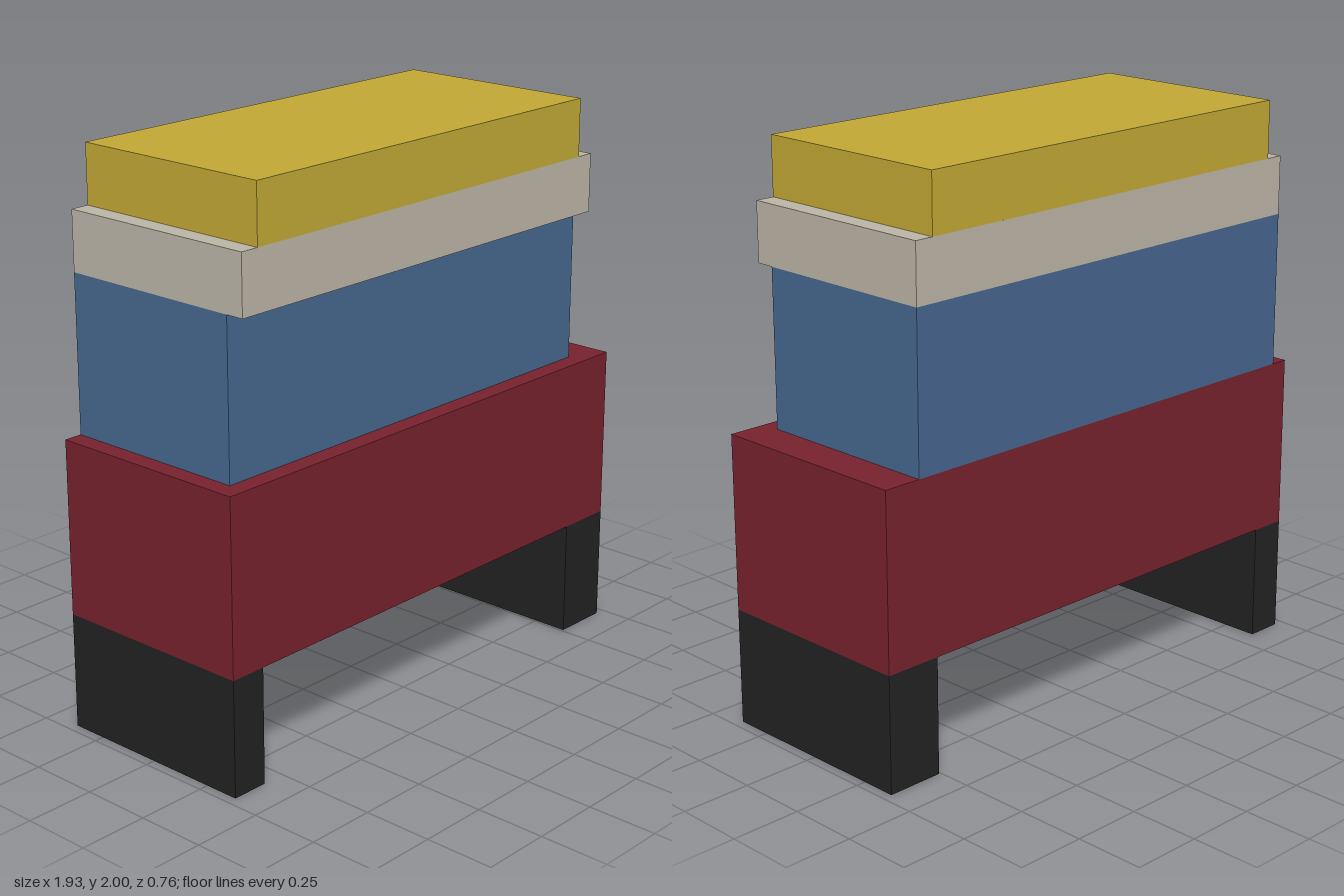
import * as THREE from 'three';

const paint = (name, color) => {
  const material = new THREE.MeshStandardMaterial({ color });
  material.name = name;
  return material;
};

export function createModel() {
  const model = new THREE.Group();
  model.name = 'blockFigure';

  const black = paint('black', 0x222222);
  const red = paint('dark red', 0x77222c);
  const blue = paint('blue', 0x46668e);
  const stone = paint('warm grey', 0xbbb4a6);
  const yellow = paint('mustard yellow', 0xc1a735);

  const back = -0.378, front = 0.378;

  // Adds a box given by its extents on each axis
  const addBlock = (name, material, [x0, x1], [y0, y1], [z0, z1] = [back, front]) => {
    const mesh = new THREE.Mesh(new THREE.BoxGeometry(x1 - x0, y1 - y0, z1 - z0), material);
    mesh.position.set((x0 + x1) / 2, (y0 + y1) / 2, (z0 + z1) / 2);
    mesh.name = name;
    model.add(mesh);
  };

  // Legs: the one on +x is wider
  addBlock('rightLeg', black, [-0.966, -0.832], [0, 0.414]);
  addBlock('leftLeg', black, [0.758, 0.966], [0, 0.414]);

  // Stacked body, with the middle block set back from the front
  addBlock('lowerBody', red, [-0.966, 0.966], [0.414, 1.035]);
  addBlock('upperBody', blue, [-0.9, 0.827], [1.035, 1.587], [back, 0.311]);
  addBlock('collar', stone, [-0.9, 0.827], [1.587, 1.795]);
  addBlock('cap', yellow, [-0.832, 0.758], [1.795, 2]);

  return model;
}
